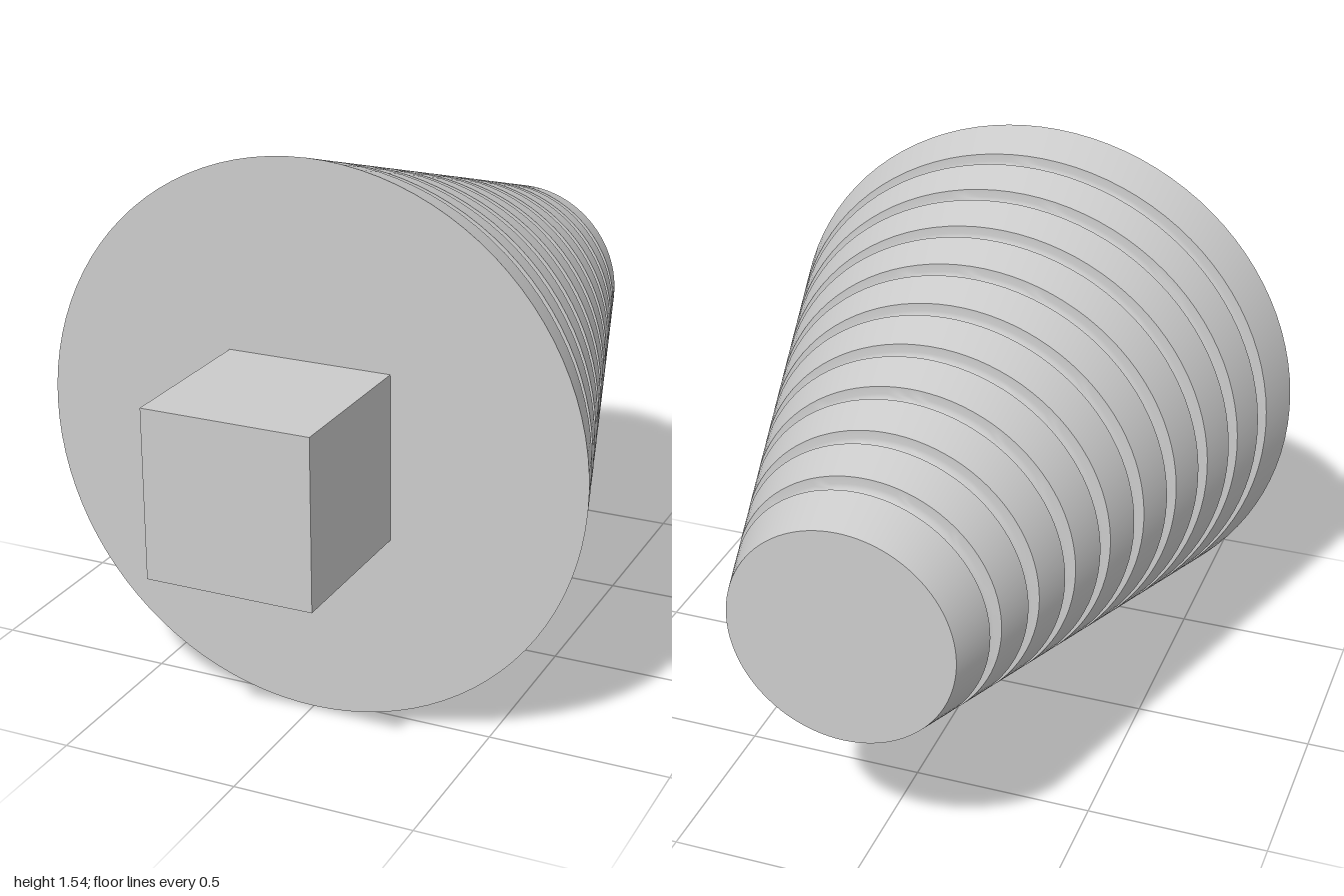
import * as THREE from 'three';
import { toCreasedNormals } from 'three/addons/utils/BufferGeometryUtils.js';

const BACK = -1, FACE = 0.54, R_BACK = 0.305, R_FACE = 0.77;
const GROOVES = 9, GROOVE_R = 0.0225, GROOVE_DEPTH = 0.037;

const coneRadius = z => R_BACK + (R_FACE - R_BACK) * (z - BACK) / (FACE - BACK);

export function createModel() {
  const model = new THREE.Group();
  const material = new THREE.MeshStandardMaterial({ color: 0xcccccc });

  // Tapered body profile: straight-walled grooves with rounded bottoms
  const profile = [new THREE.Vector2(0, BACK), new THREE.Vector2(R_BACK, BACK)];
  const pitch = (FACE - BACK) / (GROOVES + 1);
  for (let i = 1; i <= GROOVES; i++) {
    const z = BACK + i * pitch;
    const centre = coneRadius(z) - GROOVE_DEPTH + GROOVE_R;
    profile.push(new THREE.Vector2(coneRadius(z - GROOVE_R), z - GROOVE_R));
    for (let k = 0; k <= 8; k++) {
      const a = Math.PI * k / 8;
      profile.push(new THREE.Vector2(centre - GROOVE_R * Math.sin(a), z - GROOVE_R * Math.cos(a)));
    }
    profile.push(new THREE.Vector2(coneRadius(z + GROOVE_R), z + GROOVE_R));
  }
  profile.push(new THREE.Vector2(R_FACE, FACE), new THREE.Vector2(0, FACE));

  const lathe = new THREE.LatheGeometry(profile, 96);
  lathe.rotateX(Math.PI / 2);
  const body = new THREE.Mesh(toCreasedNormals(lathe, 0.6), material);
  body.name = 'groovedCone';
  body.position.y = R_FACE;
  model.add(body);

  // Square drive peg on the wide face
  const peg = new THREE.Mesh(new THREE.BoxGeometry(0.46, 0.46, 0.46), material);
  peg.name = 'squarePeg';
  peg.position.set(0, R_FACE, 0.77);
  model.add(peg);

  return model;
}
